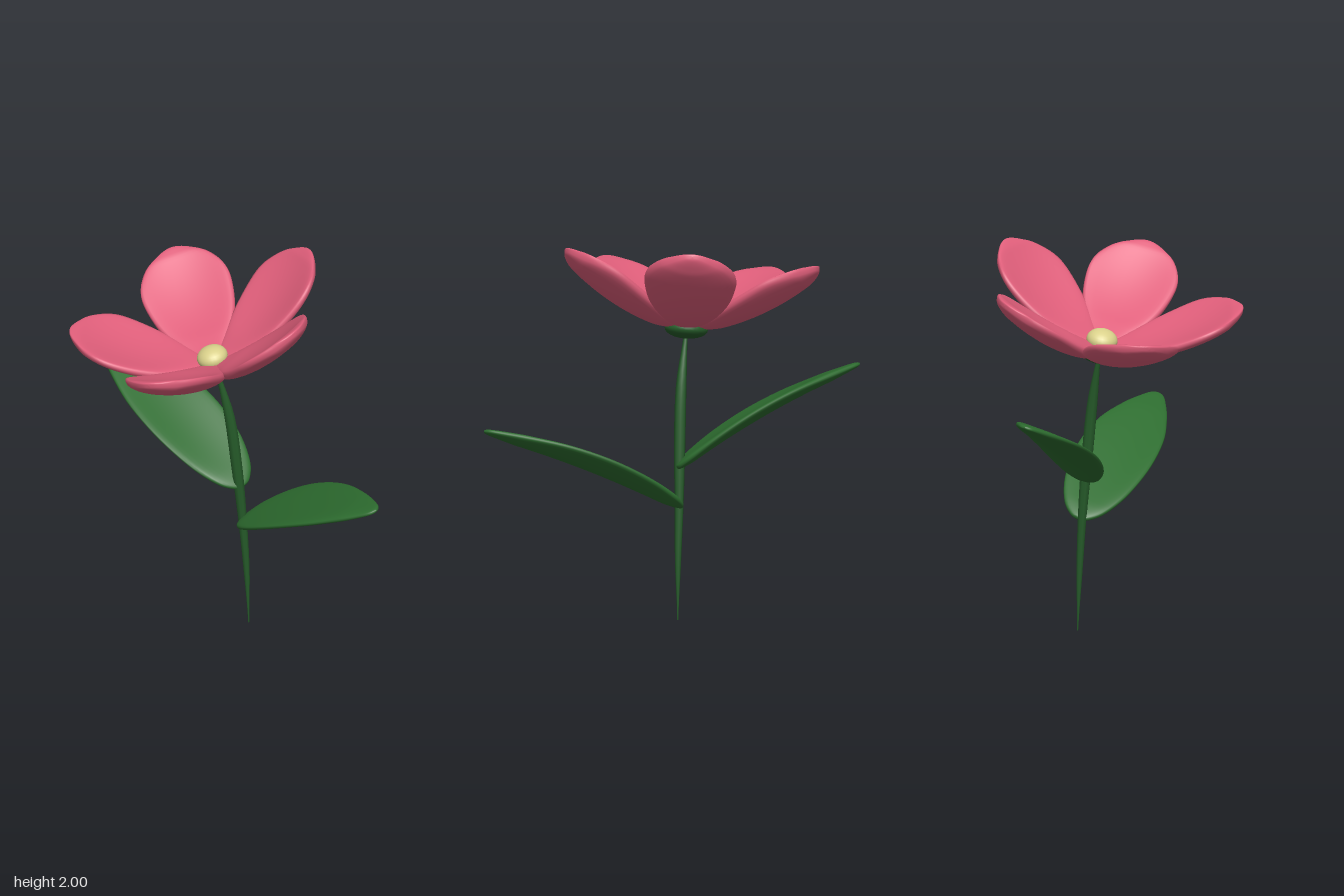
import * as THREE from 'three';

const V = (x, y, z) => new THREE.Vector3(x, y, z);

// Smooth closed skin over rings: fn(u, angle) gives a point
function loft(rows, cols, fn) {
  const pos = [], idx = [];
  for (let i = 0; i <= rows; i++)
    for (let j = 0; j < cols; j++) {
      const p = fn(i / rows, (j / cols) * Math.PI * 2);
      pos.push(p.x, p.y, p.z);
    }
  for (let i = 0; i < rows; i++)
    for (let j = 0; j < cols; j++) {
      const a = i * cols + j, c = i * cols + ((j + 1) % cols);
      const b = a + cols, d = c + cols;
      idx.push(a, b, c, b, d, c);
    }
  const g = new THREE.BufferGeometry();
  g.setAttribute('position', new THREE.Float32BufferAttribute(pos, 3));
  g.setIndex(idx);
  g.computeVertexNormals();
  return g;
}

// Pillow-like blade along +x, spread over z; outline points are (distance, half width)
function blade(outline, { thick, cup, rise, soft }) {
  const curve = new THREE.SplineCurve(outline.map(([x, w]) => new THREE.Vector2(x, w)));
  const wMax = Math.max(...outline.map((p) => p[1]));
  return loft(44, 32, (u, a) => {
    const p = curve.getPoint(u);
    const w = Math.max(p.y, 0);
    const z = w * Math.cos(a);
    const s = Math.sin(a);
    const h = thick * Math.pow(Math.min(1, w / (wMax * 0.6)), 0.6);
    const y = rise(p.x) + cup * (z / wMax) ** 2 + h * Math.sign(s) * Math.pow(Math.abs(s), soft);
    return V(p.x, y, z);
  });
}

export function createModel() {
  const mat = (name, color) => {
    const m = new THREE.MeshStandardMaterial({ color });
    m.name = name;
    return m;
  };
  const pink = mat('petalPink', 0xdf5e7a);
  const leafGreen = mat('leafGreen', 0x2d6c2f);
  const stemGreen = mat('stemGreen', 0x265c2a);
  const yellow = mat('pollenYellow', 0xd9d08a);

  const model = new THREE.Group();
  model.name = 'flower';
  const add = (parent, name, geo, material) => {
    const mesh = new THREE.Mesh(geo, material);
    mesh.name = name;
    parent.add(mesh);
    return mesh;
  };

  // Stem: bent, thickest in the middle, pointed at the foot
  const stemPath = new THREE.CatmullRomCurve3([
    V(0.04, 0, -0.125), V(0.03, 0.3, -0.118), V(0.01, 0.6, -0.108),
    V(-0.015, 0.9, -0.09), V(-0.05, 1.2, -0.07), V(-0.11, 1.46, -0.05),
  ]);
  const stemRadius = new THREE.SplineCurve(
    [0.003, 0.016, 0.023, 0.029, 0.027, 0.01].map((r, i) => new THREE.Vector2(i, r)));
  add(model, 'stem', loft(24, 8, (u, a) => {
    const r = stemRadius.getPoint(u).y;
    return stemPath.getPoint(u).add(V(r * Math.cos(a), 0, r * Math.sin(a)));
  }), stemGreen);

  // Leaves: placed from base to tip, turned by a side direction
  const leafShape = [[0, 0], [0.015, 0.05], [0.09, 0.115], [0.25, 0.172], [0.48, 0.198],
    [0.72, 0.18], [0.92, 0.122], [1.04, 0.07], [1.1, 0.035], [1.12, 0]];
  const leaf = (name, base, tip, side, arch) => {
    const along = tip.clone().sub(base);
    const len = along.length();
    along.normalize();
    side.addScaledVector(along, -side.dot(along)).normalize();
    const up = side.clone().cross(along);
    const geo = blade(leafShape.map(([x, w]) => [(x * len) / 1.12, w]), {
      thick: 0.026, cup: 0.03, soft: 0.75,
      rise: (x) => (arch * 4 * x * (len - x)) / (len * len),
    });
    const mesh = add(model, name, geo, leafGreen);
    mesh.quaternion.setFromRotationMatrix(new THREE.Matrix4().makeBasis(along, up, side));
    mesh.position.copy(base);
  };
  leaf('leftLeaf', V(0.01, 0.585, -0.13), V(0.83, 1.03, 0.49), V(-0.485, -0.27, 0.83), 0.03);
  leaf('rightLeaf', V(0.02, 0.785, -0.1), V(-0.81, 1.26, -0.61), V(0.53, 0.3, -0.85), 0.035);

  // Blossom: tilted head with five cupped petals
  const head = new THREE.Group();
  head.name = 'blossom';
  head.position.set(-0.12, 1.495, -0.045);
  head.quaternion.setFromUnitVectors(V(0, 1, 0), V(-0.25, 1, 0.12).normalize());
  model.add(head);

  const petalShape = [[0.02, 0], [0.03, 0.035], [0.12, 0.105], [0.26, 0.19], [0.4, 0.23],
    [0.5, 0.226], [0.59, 0.172], [0.645, 0.098], [0.672, 0.04], [0.678, 0]];
  const petalGeo = blade(petalShape, {
    thick: 0.042, cup: 0.055, soft: 0.6,
    rise: (x) => 0.1 * x + 0.56 * x * x,
  });
  [29, 101, 176, 247, 319].forEach((deg, i) => {
    const petal = add(head, 'petal' + (i + 1), petalGeo, pink);
    petal.rotation.y = -THREE.MathUtils.degToRad(deg);
  });

  // Yellow heart and green cup beneath
  const heart = add(head, 'heart', new THREE.SphereGeometry(0.08, 24, 16), yellow);
  heart.position.y = 0.045;
  heart.scale.y = 0.7;
  const calyx = add(head, 'calyx', new THREE.SphereGeometry(0.11, 28, 16), stemGreen);
  calyx.position.y = -0.02;
  calyx.scale.y = 0.45;

  return model;
}
